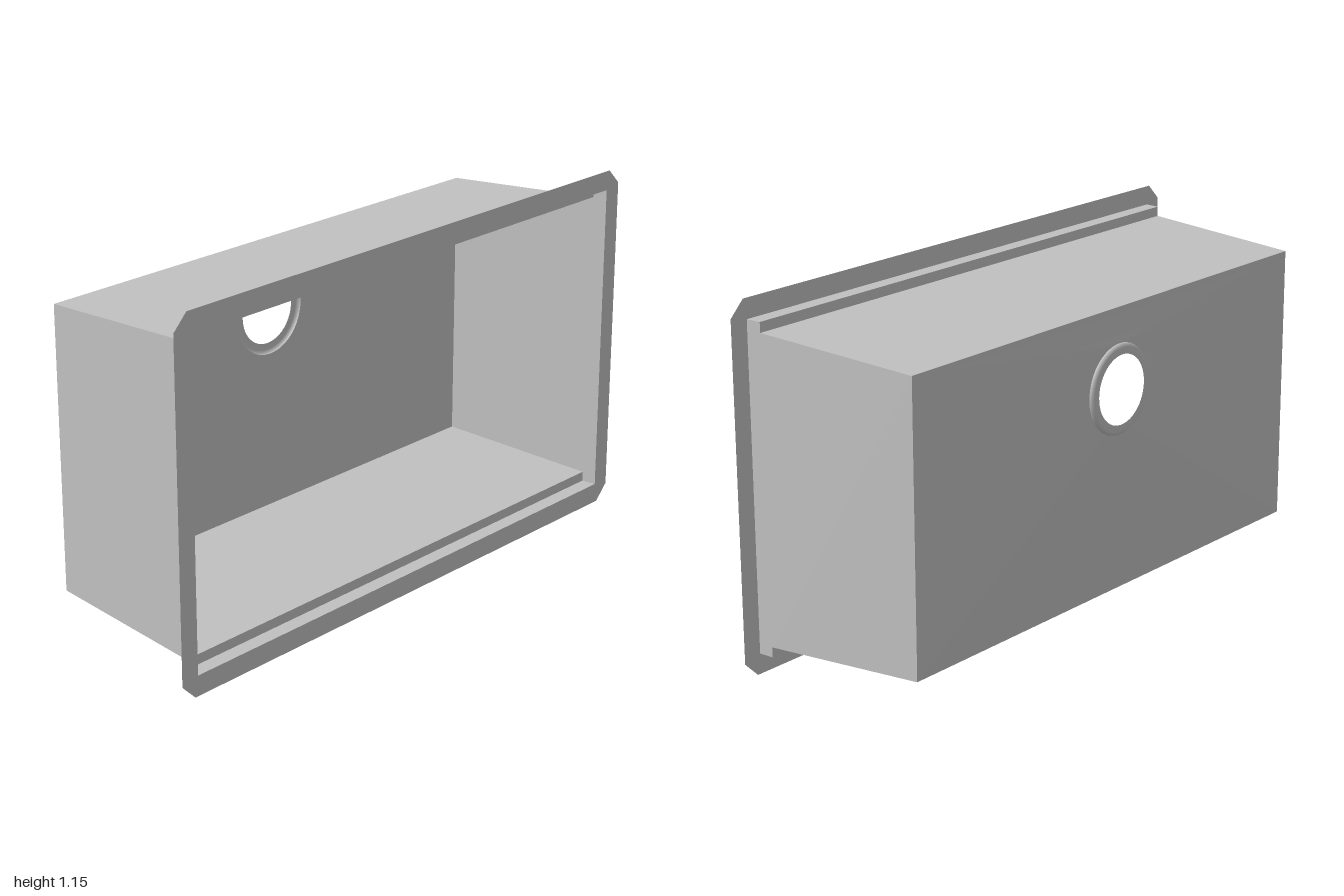
import * as THREE from 'three';

const DRAIN_Y = 0.778, DRAIN_R = 0.143, SEGMENTS = 48;

// Rectangle at depth z, counter-clockwise seen from the front
const rect = (z, hx, y0, y1) => [[-hx, y0, z], [hx, y0, z], [hx, y1, z], [-hx, y1, z]];

// Flat-faced walls lofted between successive four-cornered rings
function loftRings(rings) {
  const pos = [];
  for (let r = 0; r < rings.length - 1; r++) {
    for (let i = 0; i < 4; i++) {
      const j = (i + 1) % 4;
      const a = rings[r][i], b = rings[r][j], c = rings[r + 1][j], d = rings[r + 1][i];
      pos.push(...a, ...b, ...c, ...a, ...c, ...d);
    }
  }
  const geo = new THREE.BufferGeometry();
  geo.setAttribute('position', new THREE.Float32BufferAttribute(pos, 3));
  geo.computeVertexNormals();
  return geo;
}

// Basin floor falling from a rectangle to the round drain edge
function basinFloor(corners, drainZ) {
  const pos = corners.flat(), index = [];
  for (let i = 0; i < SEGMENTS; i++) {
    const a = (i / SEGMENTS) * Math.PI * 2;
    pos.push(Math.cos(a) * DRAIN_R, DRAIN_Y + Math.sin(a) * DRAIN_R, drainZ);
  }
  const quarter = SEGMENTS / 4;
  for (let i = 0; i < SEGMENTS; i++) {
    const q = Math.floor(i / quarter);
    const corner = (q + 2) % 4; // first quadrant meets the upper +x corner
    index.push(4 + i, corner, 4 + ((i + 1) % SEGMENTS));
    if (i % quarter === 0) index.push(4 + i, (corner + 3) % 4, corner);
  }
  const geo = new THREE.BufferGeometry();
  geo.setAttribute('position', new THREE.Float32BufferAttribute(pos, 3));
  geo.setIndex(index);
  geo.computeVertexNormals();
  return geo;
}

export function createModel() {
  const model = new THREE.Group();
  model.name = 'sink';
  const steel = new THREE.MeshStandardMaterial({ color: 0xc0c0c0, side: THREE.DoubleSide });
  steel.name = 'steel';
  const add = (name, geo) => {
    const mesh = new THREE.Mesh(geo, steel);
    mesh.name = name;
    model.add(mesh);
    return mesh;
  };

  // Mounting flange with clipped corners and a rectangular opening
  const H = 1.153, C = 0.05;
  const outline = new THREE.Shape([
    [-1 + C, 0], [1 - C, 0], [1, C], [1, H - C], [1 - C, H], [-1 + C, H], [-1, H - C], [-1, C],
  ].map(([x, y]) => new THREE.Vector2(x, y)));
  const mouth = rect(0.309, 0.938, 0.065, 1.09);
  outline.holes.push(new THREE.Path(mouth.map(([x, y]) => new THREE.Vector2(x, y)).reverse()));
  add('flange', new THREE.ShapeGeometry(outline)).position.z = 0.309;

  // Walls: short collar, ledge along the two long sides, then tapered basin
  const floorRect = rect(-0.284, 0.9, 0.128, 1.028);
  add('walls', loftRings([
    mouth,
    rect(0.26, 0.935, 0.065, 1.09),
    rect(0.26, 0.935, 0.097, 1.058),
    floorRect,
  ]));

  add('basinFloor', basinFloor(floorRect, -0.298));

  // Recessed drain seat with a rounded edge around an open hole
  const profile = [[0.143, -0.298], [0.142, -0.302], [0.138, -0.306], [0.131, -0.309], [0.11, -0.309]];
  const seat = new THREE.LatheGeometry(profile.map(([r, z]) => new THREE.Vector2(r, z)), SEGMENTS);
  seat.rotateX(Math.PI / 2);
  add('drainSeat', seat).position.y = DRAIN_Y;

  return model;
}
